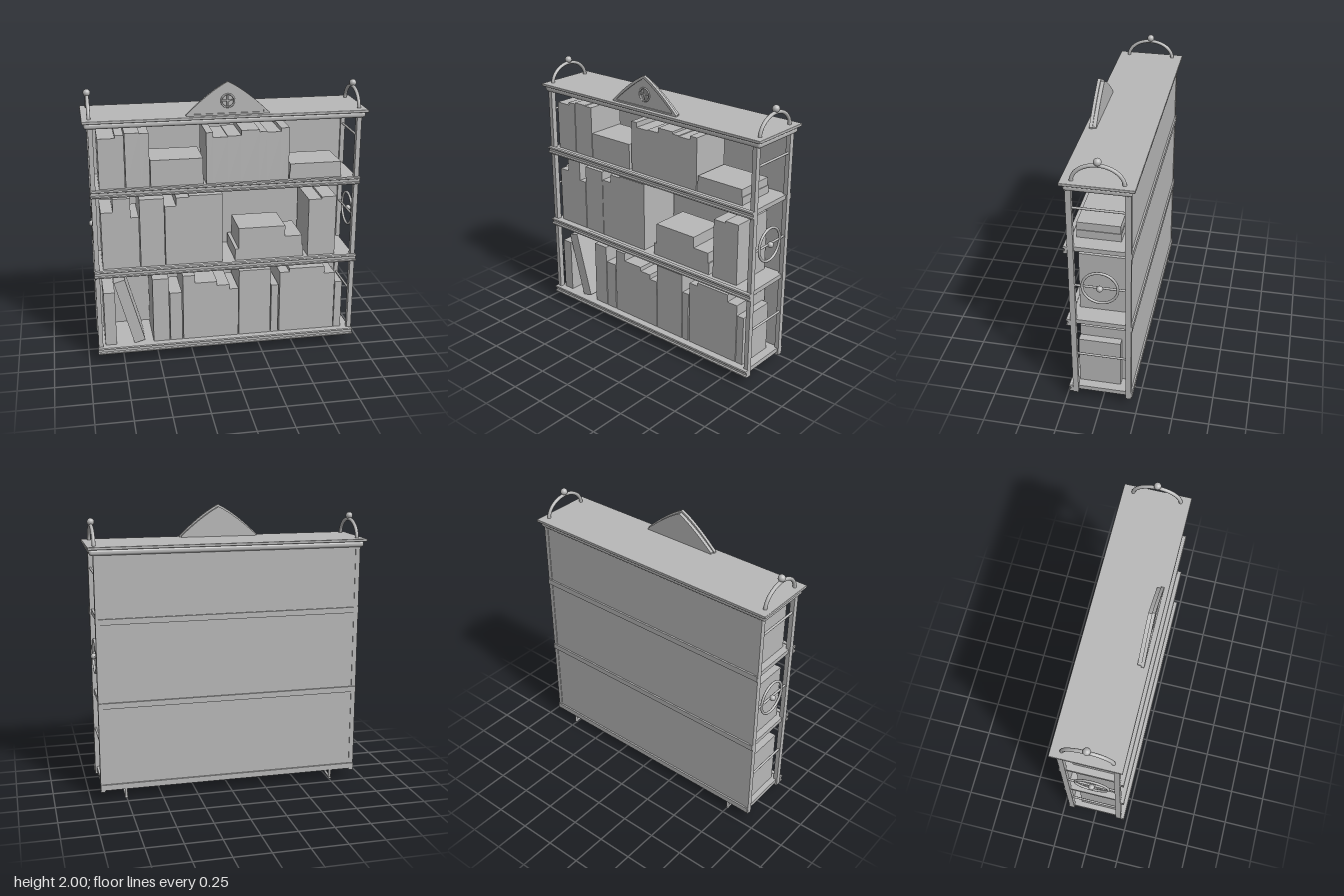
import * as THREE from 'three';
import { RoundedBoxGeometry } from 'three/addons/geometries/RoundedBoxGeometry.js';

const grey = new THREE.MeshStandardMaterial({ color: 0xb8b8b8 });
grey.name = 'plain grey';

export function createModel() {
  const model = new THREE.Group();
  model.name = 'bookcase';

  const add = (name, geometry, x = 0, y = 0, z = 0, parent = model) => {
    const mesh = new THREE.Mesh(geometry, grey);
    mesh.name = name;
    mesh.position.set(x, y, z);
    parent.add(mesh);
    return mesh;
  };
  // box given by its limits
  const block = (name, x0, x1, y0, y1, z0, z1, parent) =>
    add(name, new THREE.BoxGeometry(x1 - x0, y1 - y0, z1 - z0),
      (x0 + x1) / 2, (y0 + y1) / 2, (z0 + z1) / 2, parent);
  const rod = (name, a, b, r) => {
    const path = new THREE.LineCurve3(new THREE.Vector3(...a), new THREE.Vector3(...b));
    const mesh = add(name, new THREE.CylinderGeometry(r, r, path.getLength(), 12));
    mesh.position.copy(path.getPoint(0.5));
    mesh.quaternion.setFromUnitVectors(new THREE.Vector3(0, 1, 0), path.getTangent(0.5));
    return mesh;
  };

  // Carcass: back panel and cornice
  block('backPanel', -0.92, 0.92, 0.075, 1.72, -0.2, -0.185);
  add('corniceMoulding', new RoundedBoxGeometry(1.914, 0.042, 0.425, 4, 0.018), 0, 1.737, -0.002);
  add('corniceTop', new RoundedBoxGeometry(1.94, 0.019, 0.465, 2, 0.004), 0, 1.766, -0.002);

  // Shelves with a moulded front edge and a narrow back strip
  const edge = new THREE.Shape([
    [0.2, -0.026], [0.222, -0.026], [0.229, -0.02], [0.227, -0.013], [0.217, -0.008],
    [0.217, 0.008], [0.227, 0.012], [0.231, 0.018], [0.227, 0.025], [0.2, 0.025],
  ].map(([z, y]) => new THREE.Vector2(-z, y)).reverse());
  const edgeGeometry = new THREE.ExtrudeGeometry(edge, { depth: 1.87, bevelEnabled: false });
  edgeGeometry.translate(0, 0, -0.935).rotateY(Math.PI / 2);
  for (const y of [0.095, 0.685, 1.27]) {
    block('shelf', -0.92, 0.92, y - 0.012, y + 0.02, -0.195, 0.2);
    add('shelfEdge', edgeGeometry, 0, y, 0);
    block('shelfBackStrip', -0.93, 0.93, y - 0.02, y + 0.02, -0.212, -0.198);
  }

  // Both ends: posts, rails, ring, arch and foot
  const sphere = new THREE.SphereGeometry(0.025, 20, 14);
  for (const s of [-1, 1]) {
    for (const z of [-0.185, 0.183])
      block('post', s * 0.915 - 0.016, s * 0.915 + 0.016, 0.06, 1.72, z - 0.019, z + 0.019);
    for (const y of [0.41, 0.99, 1.58])
      rod('sideRail', [s * 0.917, y, -0.168], [s * 0.917, y, 0.168], 0.008);

    const ring = add('sideRing', new THREE.TorusGeometry(0.117, 0.009, 10, 40), s * 0.922, 0.99, 0);
    ring.rotation.y = Math.PI / 2;
    add('ringKnob', sphere, s * 0.93, 0.99, 0).scale.setScalar(0.85);

    const arch = new THREE.CatmullRomCurve3(Array.from({ length: 17 }, (_, i) => {
      const t = Math.PI * i / 16;
      return new THREE.Vector3(s * 0.92, 1.768 + 0.125 * Math.sin(t), 0.163 * Math.cos(t));
    }));
    add('topArch', new THREE.TubeGeometry(arch, 40, 0.0125, 10), 0, 0, 0);
    add('archFinial', sphere, s * 0.92, 1.917, 0);

    const fx = s * 0.754;
    rod('footBrace', [fx, 0.065, 0.16], [fx, 0.012, -0.2], 0.009);
    rod('footLeg', [fx, 0.01, -0.196], [fx, 0.085, -0.196], 0.01);
    add('footJoint', new THREE.SphereGeometry(0.011, 10, 8), fx, 0.012, -0.198);
  }

  // Pointed pediment: solid back, raised rim, pierced face with a crossed roundel
  const gable = (Curve, w, base, top) => {
    const p = new Curve();
    p.moveTo(-w, base);
    p.lineTo(w, base);
    p.lineTo(w, base + 0.012);
    p.quadraticCurveTo(w * 0.43, top - 0.06, 0, top);
    p.quadraticCurveTo(-w * 0.43, top - 0.06, -w, base + 0.012);
    p.closePath();
    return p;
  };
  const slab = (name, shape, z, depth) =>
    add(name, new THREE.ExtrudeGeometry(shape, { depth, bevelEnabled: false, curveSegments: 20 }), 0, 0, z);
  slab('pedimentBack', gable(THREE.Shape, 0.272, 1.772, 1.985), 0.153, 0.024);
  const rim = gable(THREE.Shape, 0.282, 1.772, 2);
  rim.holes.push(gable(THREE.Path, 0.245, 1.787, 1.982));
  slab('pedimentRim', rim, 0.177, 0.021);
  const face = gable(THREE.Shape, 0.26, 1.78, 1.99);
  const hole = new THREE.Path();
  hole.absarc(0, 1.87, 0.042, 0, Math.PI * 2, true);
  face.holes.push(hole);
  slab('pedimentFace', face, 0.177, 0.013);
  add('roundelRing', new THREE.TorusGeometry(0.044, 0.006, 8, 28), 0, 1.87, 0.19);
  block('roundelBar', -0.042, 0.042, 1.865, 1.875, 0.177, 0.19);
  block('roundelBar', -0.005, 0.005, 1.828, 1.912, 0.177, 0.19);

  // Upright books: [left, right, top] for each row
  const rows = [
    { base: 0.115, books: [
      [-0.88, -0.8, 0.52], [-0.534, -0.418, 0.6], [-0.412, -0.325, 0.485], [-0.317, -0.23, 0.61],
      [-0.23, -0.07, 0.55], [-0.07, 0.02, 0.52], [0.02, 0.085, 0.485], [0.09, 0.205, 0.62],
      [0.205, 0.322, 0.62], [0.328, 0.38, 0.49], [0.39, 0.46, 0.585], [0.46, 0.55, 0.61],
      [0.55, 0.635, 0.61], [0.635, 0.72, 0.61], [0.72, 0.8, 0.555], [0.805, 0.858, 0.48]] },
    { base: 0.705, books: [
      [-0.873, -0.79, 1.12], [-0.79, -0.67, 1.215], [-0.67, -0.614, 1.075], [-0.608, -0.52, 1.2],
      [-0.52, -0.438, 1.2], [-0.434, -0.355, 1.14], [-0.355, -0.265, 1.2], [-0.265, -0.03, 1.21],
      [0.588, 0.682, 1.13], [0.682, 0.788, 1.145]] },
    { base: 1.29, books: [
      [-0.873, -0.757, 1.64], [-0.757, -0.698, 1.66], [-0.693, -0.593, 1.67], [-0.593, -0.53, 1.665],
      [-0.143, -0.095, 1.65], [-0.095, 0.005, 1.615], [0.005, 0.1, 1.62], [0.1, 0.226, 1.655],
      [0.226, 0.28, 1.64], [0.28, 0.376, 1.635], [0.376, 0.435, 1.66]] },
  ];
  for (const { base, books } of rows)
    for (const [x0, x1, top] of books) {
      const back = base > 1 ? -0.13 : top - base > 0.42 ? -0.155 : -0.118;
      block('book', x0, x1, base, top, back, 0.168);
    }
  const leaning = add('leaningBook', new THREE.BoxGeometry(0.08, 0.497, 0.31), -0.7, 0.363, 0.013);
  leaning.rotation.z = 0.268;

  // Lying books: [left, right, bottom, top, back]
  for (const [x0, x1, y0, y1, back] of [
    [0.06, 0.555, 0.705, 0.79, -0.165], [0.085, 0.545, 0.79, 0.865, -0.13], [0.085, 0.42, 0.865, 0.945, -0.12],
    [-0.525, -0.165, 1.29, 1.345, -0.12], [-0.525, -0.165, 1.345, 1.41, -0.12], [-0.525, -0.165, 1.41, 1.475, -0.12],
    [0.442, 0.812, 1.29, 1.345, -0.12], [0.447, 0.807, 1.345, 1.4, -0.115],
  ]) block('lyingBook', x0, x1, y0, y1, back, 0.168);

  return model;
}
